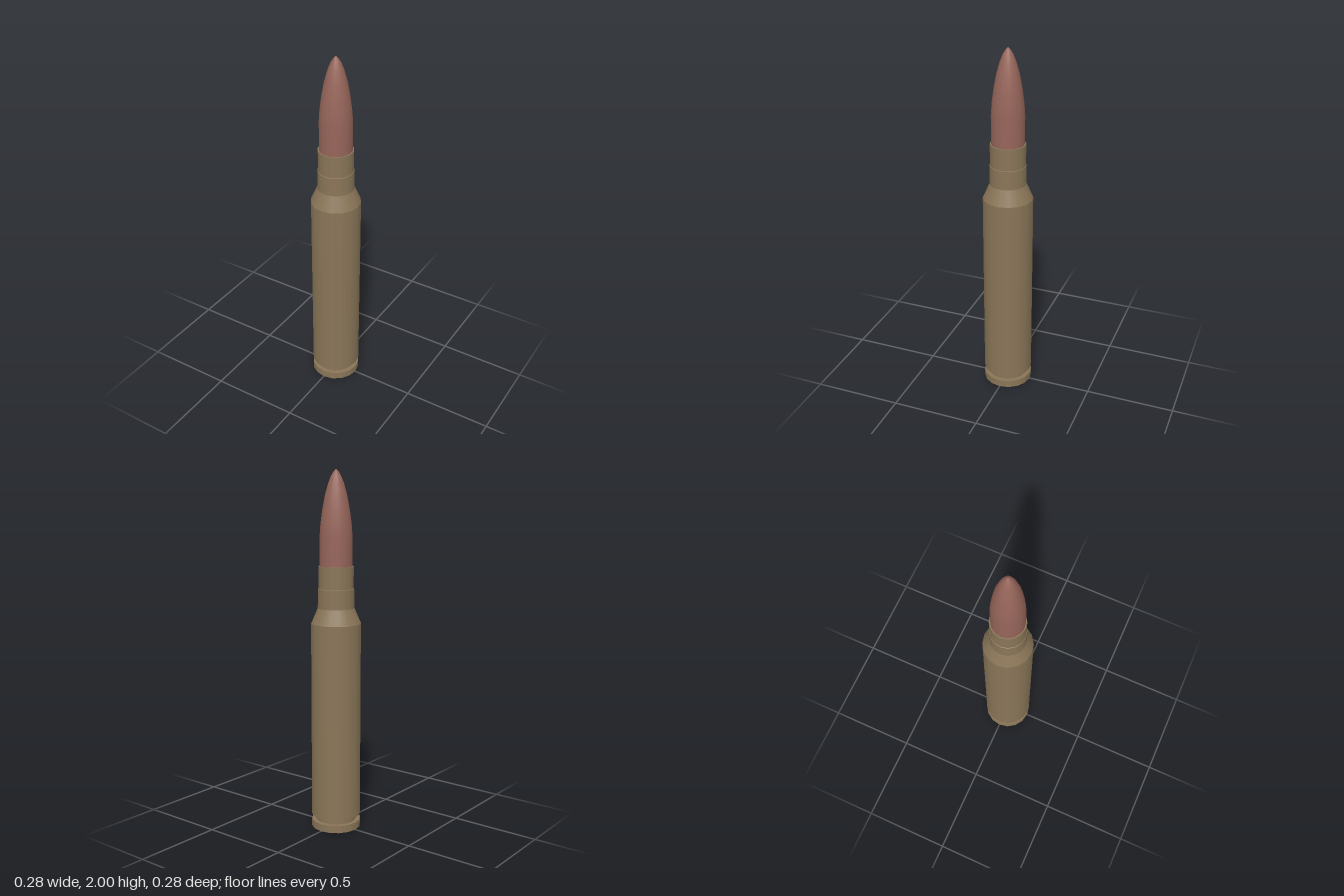
import * as THREE from 'three';
import { mergeGeometries } from 'three/addons/utils/BufferGeometryUtils.js';

const SIDES = 16;

// Lathe through [radius, height] points, smooth along the whole run
function turn(points) {
  return new THREE.LatheGeometry(points.map(([r, y]) => new THREE.Vector2(r, y)), SIDES);
}

// Lathe with a hard edge at every profile point
function turnHard(points) {
  const bands = [];
  for (let i = 0; i < points.length - 1; i++) bands.push(turn([points[i], points[i + 1]]));
  return mergeGeometries(bands);
}

export function createModel() {
  const brass = new THREE.MeshStandardMaterial({ color: 0x8a7658 });
  brass.name = 'dull brass';
  const copper = new THREE.MeshStandardMaterial({ color: 0x96655a });
  copper.name = 'copper';

  const group = new THREE.Group();
  group.name = 'cartridge';
  const add = (name, geometry, material) => {
    const mesh = new THREE.Mesh(geometry, material);
    mesh.name = name;
    group.add(mesh);
  };

  // Base rim with a shallow pocket for the primer
  add('rim', turnHard([
    [0.056, 0.008], [0.066, 0.008], [0.066, 0], [0.138, 0], [0.138, 0.042], [0.113, 0.042],
  ]), brass);

  // Extractor groove
  add('extractorGroove', turnHard([[0.113, 0.042], [0.113, 0.072]]), brass);

  // Case body, shoulder, neck and open mouth
  add('caseBody', turnHard([[0.113, 0.072], [0.138, 0.072], [0.138, 1.17]]), brass);
  add('shoulder', turnHard([[0.138, 1.17], [0.101, 1.255]]), brass);
  add('neck', turnHard([
    [0.101, 1.255], [0.1, 1.36], [0.097, 1.362], [0.097, 1.483], [0.088, 1.483],
  ]), brass);

  // Bullet: straight shank and curved nose
  add('bullet', turn([
    [0.09, 1.47], [0.09, 1.64], [0.085, 1.71], [0.075, 1.785], [0.061, 1.86],
    [0.043, 1.925], [0.027, 1.965], [0.013, 1.987], [0, 2],
  ]), copper);

  // Primer cap in the base
  add('primer', turnHard([[0, 0.004], [0.056, 0.004], [0.056, 0.012]]), copper);

  return group;
}
